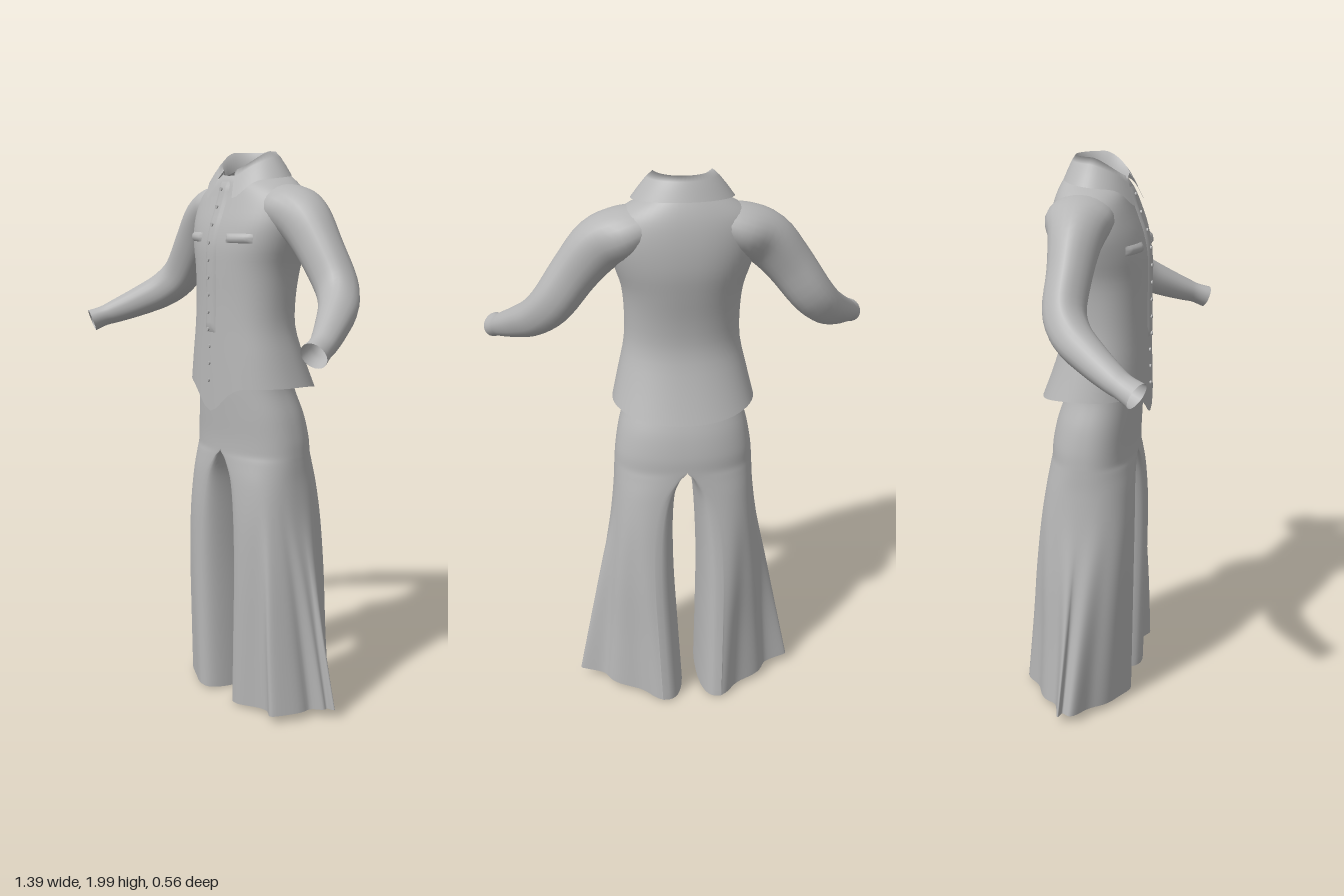
import * as THREE from 'three';
import { mergeGeometries, mergeVertices } from 'three/addons/utils/BufferGeometryUtils.js';

const cloth = new THREE.MeshStandardMaterial({ color: 0xb6b6b6, side: THREE.DoubleSide });
cloth.name = 'grey cloth';

const pow = (v, p) => Math.sign(v) * Math.abs(v) ** p;
const bump = (v, centre, width) => Math.exp(-(((v - centre) / width) ** 2));

// Catmull-Rom through table rows; u runs from 0 to rows.length - 1
function rowAt(rows, u) {
  const last = rows.length - 1;
  const i = Math.min(Math.floor(u), last - 1), f = u - i;
  const [a, b, c, d] = [i - 1, i, i + 1, i + 2].map(k => rows[Math.min(Math.max(k, 0), last)]);
  return b.map((_, k) => 0.5 * (2 * b[k] + (c[k] - a[k]) * f
    + (2 * a[k] - 5 * b[k] + 4 * c[k] - d[k]) * f * f
    + (3 * b[k] - a[k] - 3 * c[k] + d[k]) * f ** 3));
}

function sampleRows(rows, steps) {
  const n = (rows.length - 1) * steps;
  return Array.from({ length: n + 1 }, (_, i) => rowAt(rows, i / steps));
}

// Skin between loops of [x, y, z] points; keep() can leave out quads
function loft(loops, closed = true, keep = () => true) {
  const n = loops[0].length, index = [];
  for (let r = 0; r < loops.length - 1; r++) {
    for (let j = 0; j < (closed ? n : n - 1); j++) {
      const k = (j + 1) % n;
      if (!keep([loops[r][j], loops[r][k], loops[r + 1][j], loops[r + 1][k]])) continue;
      const a = r * n + j, b = r * n + k;
      index.push(a, a + n, b, b, a + n, b + n);
    }
  }
  const g = new THREE.BufferGeometry();
  g.setAttribute('position', new THREE.Float32BufferAttribute(loops.flat(2), 3));
  g.setIndex(index);
  g.computeVertexNormals();
  return g;
}

// Shirt body: y, half width, front z, back z, hem curve weight, forward tilt
const BODY = [
  [1.195, 0.25, 0.16, -0.22, 1, 0], [1.3, 0.225, 0.157, -0.175, 0.45, 0],
  [1.4, 0.203, 0.154, -0.145, 0.1, 0], [1.5, 0.2, 0.152, -0.148, 0, 0],
  [1.6, 0.208, 0.152, -0.165, 0, 0], [1.68, 0.232, 0.149, -0.178, 0, 0],
  [1.75, 0.25, 0.134, -0.18, 0, 0], [1.81, 0.25, 0.112, -0.175, 0, 0],
  [1.855, 0.228, 0.097, -0.165, 0, 0.005], [1.89, 0.18, 0.088, -0.15, 0, 0.012],
  [1.92, 0.12, 0.08, -0.13, 0, 0.02], [1.945, 0.092, 0.07, -0.108, 0, 0.03],
];
const BODY_P = 0.9;

function bodyGeometry() {
  const loops = sampleRows(BODY, 3).map(([y, w, zf, zb, hem, tilt]) =>
    Array.from({ length: 56 }, (_, j) => {
      const t = j / 56 * Math.PI * 2, c = Math.cos(t);
      const x = w * pow(Math.sin(t), BODY_P);
      const z = (zf + zb) / 2 + (zf - zb) / 2 * pow(c, BODY_P);
      const dip = c > 0 ? 0.095 * bump(x, 0, 0.085) : 0.035 * c * c;
      return [x, y - hem * dip - tilt * c, z];
    }));
  return loft(loops);
}

// Front surface of the shirt at a given x and y
function frontZ(x, y) {
  let i = 0;
  while (i < BODY.length - 2 && BODY[i + 1][0] < y) i++;
  const f = Math.max(0, (y - BODY[i][0]) / (BODY[i + 1][0] - BODY[i][0]));
  const [, w, zf, zb] = rowAt(BODY, i + Math.min(f, 1));
  const s = Math.min(1, Math.abs(x) / w) ** (1 / BODY_P);
  return (zf + zb) / 2 + (zf - zb) / 2 * (1 - s * s) ** (BODY_P / 2);
}

// Strip of cloth lying on the shirt front
function patch(x0, x1, y0, y1, lift, nx = 6, ny = 12) {
  const loops = [];
  for (let i = 0; i <= ny; i++) {
    const y = y0 + (y1 - y0) * i / ny;
    loops.push(Array.from({ length: nx + 1 }, (_, j) => {
      const x = x0 + (x1 - x0) * j / nx;
      const edge = i === 0 || i === ny || j === 0 || j === nx;
      return [x, y, frontZ(x, y) + (edge ? 0.001 : lift)];
    }));
  }
  return loft(loops, false);
}

// Sleeve: x, y, z, radius, depth radius from shoulder to cuff
const SLEEVE = [
  [0.13, 1.828, -0.042, 0.066, 0.105], [0.2, 1.8, -0.044, 0.086, 0.115],
  [0.28, 1.758, -0.036, 0.092, 0.09], [0.36, 1.668, -0.033, 0.083, 0.074],
  [0.44, 1.56, -0.03, 0.076, 0.07], [0.5, 1.496, 0.01, 0.067, 0.066],
  [0.56, 1.447, 0.088, 0.056, 0.056], [0.615, 1.407, 0.168, 0.044, 0.046],
  [0.637, 1.39, 0.208, 0.037, 0.042], [0.656, 1.373, 0.25, 0.04, 0.046],
];

function sleeveGeometry(side) {
  const rings = sampleRows(SLEEVE, 4);
  const pts = rings.map(r => new THREE.Vector3(side * r[0], r[1], r[2]));
  const loops = rings.map((r, i) => {
    const dir = pts[Math.min(i + 1, pts.length - 1)].clone().sub(pts[Math.max(i - 1, 0)]).normalize();
    const across = new THREE.Vector3(0, 0, 1).addScaledVector(dir, -dir.z).normalize();
    const up = new THREE.Vector3().crossVectors(across, dir);
    return Array.from({ length: 24 }, (_, j) => {
      const t = j / 24 * Math.PI * 2;
      // soft lengthwise folds along the arm
      const fold = 1 + 0.025 * Math.cos(5 * t + 1) * Math.sin(i / rings.length * Math.PI);
      return pts[i].clone().addScaledVector(across, Math.cos(t) * r[4] * fold)
        .addScaledVector(up, Math.sin(t) * r[3] * fold).toArray();
    });
  });
  return loft(loops);
}

// Collar: neck stand rising to a fold, then a leaf falling to two points
function collarGeometry() {
  const gap = 0.33, n = 48, loops = [[], [], [], [], []];
  for (let j = 0; j <= n; j++) {
    const t = gap + (Math.PI * 2 - 2 * gap) * j / n;
    const s = Math.sin(t), c = Math.cos(t);
    const tip = bump(Math.min(t, Math.PI * 2 - t), gap, 0.35);
    const topY = 1.997 - 0.068 * Math.max(0, (c + 0.15) / 1.15) ** 1.5;
    const stand = [0.09 * s, 1.93 - 0.03 * c, -0.02 + 0.086 * c];
    const fold = [0.098 * s, topY, -0.014 + 0.09 * c];
    const low = [0.172 * s + Math.sign(s) * 0.012 * tip, 1.908 - 0.012 * c - 0.058 * tip,
      -0.02 + 0.122 * c + 0.02 * tip];
    const mix = (f, lift) => fold.map((v, k) => v + (low[k] - v) * f + (k === 1 ? lift : 0));
    [stand, fold, mix(0.3, 0.006), mix(0.65, 0.005), low].forEach((p, k) => loops[k].push(p));
  }
  return loft(loops, false);
}

// Trouser half: y, seam x, inner x, outer x, front z, back z, flare
const LEG = [
  [1.25, 0, 0, 0.2, 0.125, -0.12, 0], [1.18, 0, 0, 0.206, 0.126, -0.132, 0],
  [1.09, 0, 0, 0.23, 0.122, -0.163, 0], [1.01, 0, 0, 0.244, 0.118, -0.18, 0],
  [0.955, 0, 0, 0.249, 0.118, -0.184, 0], [0.92, 0.035, 0.016, 0.251, 0.12, -0.186, 0],
  [0.84, 0.085, 0.034, 0.256, 0.125, -0.195, 0], [0.7, 0.115, 0.044, 0.274, 0.13, -0.213, 0.1],
  [0.5, 0.125, 0.046, 0.314, 0.13, -0.235, 0.4], [0.25, 0.12, 0.038, 0.362, 0.127, -0.257, 0.75],
  [0.004, 0.112, 0.028, 0.41, 0.123, -0.282, 1],
];

function legGeometry(side) {
  const outer = 84, inner = 20;
  const loops = sampleRows(LEG, 5).map(([y, s, xi, xo, zf, zb, flare]) => {
    s = Math.max(0, s);
    xi = Math.min(s, Math.max(0, xi));
    const zc = (zf + zb) / 2, zr = (zf - zb) / 2, loop = [];
    for (let j = 0; j < outer + inner; j++) {
      const out = j < outer;
      const t = out ? j / outer * Math.PI : Math.PI * (1 + (j - outer) / inner);
      const c = Math.cos(t), k = Math.abs(Math.sin(t));
      // the section turns from rounded to kite-shaped towards the hem
      const p = 0.88 + (c > 0 ? 0.6 : 1.1) * flare;
      // shallow pleats down the outside and back
      let pleat = out ? flare * k * 0.05 * (1 - 0.5 * c) * (Math.cos(11 * t - 0.6) - 0.6) : 0;
      let x = out ? s + (xo - s) * (k ** p) : s - (s - xi) * (k ** 0.7);
      let z = zc + zr * pow(c, out ? p : 0.9) * (1 + pleat);
      // one full fold at the front of the left leg, with a tuck behind it
      if (out && side > 0) {
        z += flare * 0.085 * bump(t, 0.85, 0.2);
        pleat -= flare * 0.13 * bump(t, 1.2, 0.12);
      }
      x *= 1 + pleat * k;
      x -= flare * side * 0.016 * Math.max(0, 1 - x / 0.3);
      loop.push([side * x, y + flare * 0.035 * x / 0.4, z]);
    }
    return side > 0 ? loop : loop.reverse();
  });
  // above the crotch the two halves are open to each other
  return loft(loops, true, quad => quad.some(p => Math.abs(p[0]) > 1e-4));
}

export function createModel() {
  const model = new THREE.Group();
  model.name = 'shirtAndTrousers';
  const add = (name, geometry, parent = model) => {
    const mesh = new THREE.Mesh(geometry, cloth);
    mesh.name = name;
    parent.add(mesh);
    return mesh;
  };

  // Shirt
  const shirt = new THREE.Group();
  shirt.name = 'shirt';
  model.add(shirt);
  add('shirtBody', bodyGeometry(), shirt);
  add('collar', collarGeometry(), shirt);
  add('buttonPlacket', patch(-0.03, 0.026, 1.38, 1.895, 0.008, 6, 30), shirt);
  for (const [side, label] of [[1, 'left'], [-1, 'right']]) {
    add(label + 'Sleeve', sleeveGeometry(side), shirt);
    add(label + 'PocketFlap', patch(side * 0.07, side * 0.172, 1.69, 1.722, 0.009, 8, 4), shirt);
  }

  // Buttons down the front
  const button = new THREE.CylinderGeometry(0.007, 0.007, 0.006, 12).rotateX(Math.PI / 2);
  for (let i = 0; i < 12; i++) {
    const y = 1.87 - i * 0.06;
    add('button', button, shirt).position.set(-0.008, y, frontZ(0, y) + (y > 1.38 ? 0.01 : 0.003));
  }

  // Flared trousers, both halves joined along the centre seam
  const trousers = mergeGeometries([legGeometry(1), legGeometry(-1)]);
  trousers.deleteAttribute('normal');
  const joined = mergeVertices(trousers, 1e-4);
  joined.computeVertexNormals();
  add('flaredTrousers', joined);
  return model;
}
